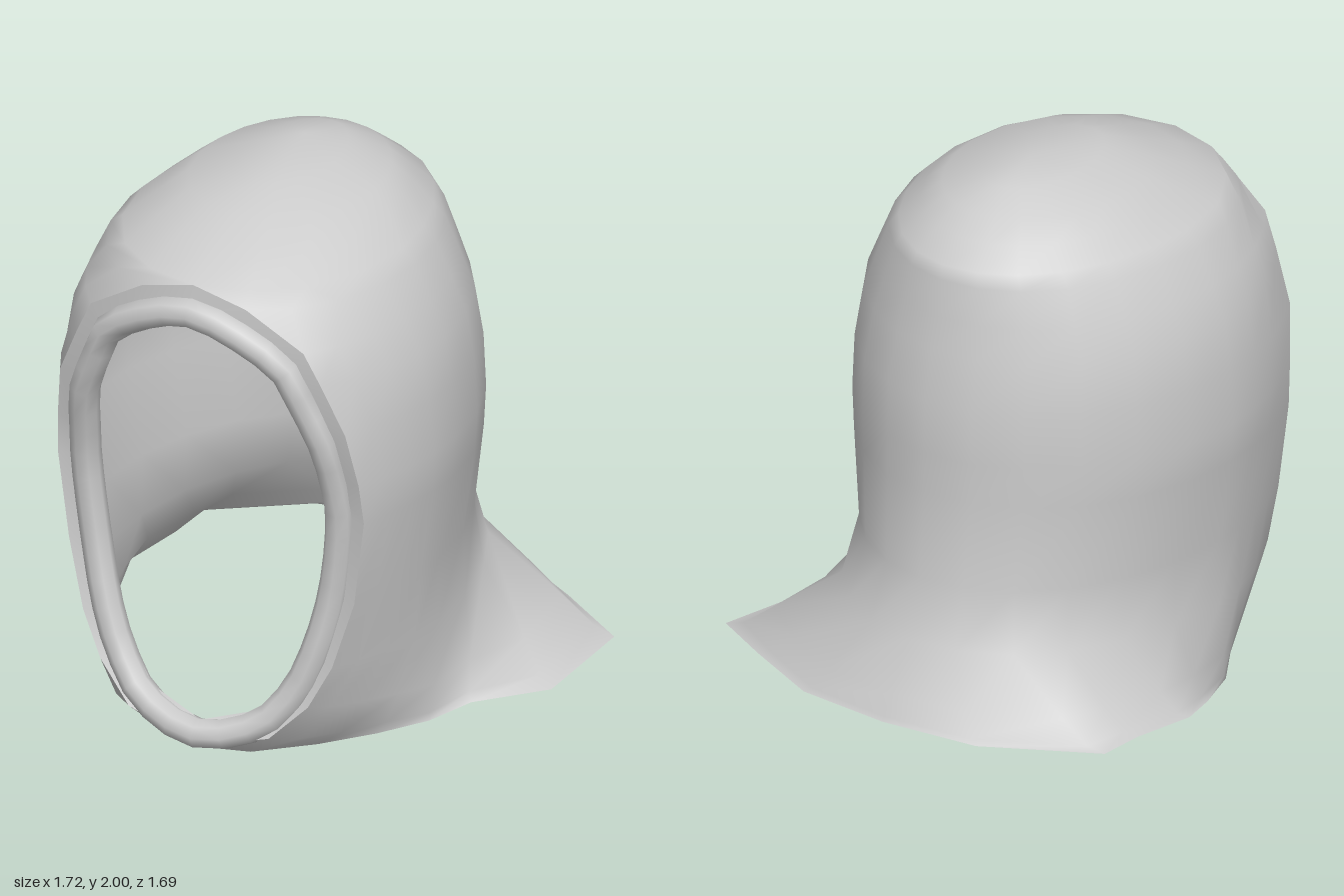
import * as THREE from 'three';
import { mergeVertices } from 'three/addons/utils/BufferGeometryUtils.js';

const CX = -0.09; // centre line of the hood
const FRONT = 4, BACK = 6, HALF = FRONT + BACK; // columns on each side
const V = (x, y, z) => new THREE.Vector3(x, y, z);

// Joins rows of points into one smooth surface
function loft(rows) {
  const pos = [], idx = [], n = rows[0].length;
  rows.forEach((row) => row.forEach((p) => pos.push(p.x, p.y, p.z)));
  for (let i = 0; i < rows.length - 1; i++) {
    for (let j = 0; j < n - 1; j++) {
      const a = i * n + j, b = a + 1, c = a + n, d = c + 1;
      idx.push(a, c, b, b, c, d);
    }
  }
  let geo = new THREE.BufferGeometry();
  geo.setAttribute('position', new THREE.Float32BufferAttribute(pos, 3));
  geo.setIndex(idx);
  geo = mergeVertices(geo, 1e-4);
  geo.computeVertexNormals();
  return geo;
}

// Levels: height, face-opening half width, front z, half width, z of widest point, back z,
// then how far the level flares and drops towards the hem
const levels = [
  [2.0, 0, -0.03, 0, -0.03, -0.03, 0, 0],
  [1.965, 0, 0.32, 0.16, 0.05, -0.22, 0, 0],
  [1.91, 0, 0.48, 0.33, 0.08, -0.34, 0, 0],
  [1.85, 0, 0.63, 0.41, 0.12, -0.42, 0, 0],
  [1.78, 0, 0.78, 0.5, 0.2, -0.51, 0, 0],
  [1.73, 0.2, 0.775, 0.55, 0.2, -0.525, 0, 0],
  [1.6, 0.41, 0.75, 0.61, 0.2, -0.55, 0, 0],
  [1.48, 0.47, 0.735, 0.665, 0.2, -0.57, 0, 0],
  [1.3, 0.55, 0.71, 0.69, 0.2, -0.61, 0, 0],
  [1.1, 0.58, 0.67, 0.7, 0.2, -0.615, 0, 0],
  [0.95, 0.59, 0.65, 0.69, 0.2, -0.615, 0, 0],
  [0.63, 0.55, 0.645, 0.64, 0.2, -0.64, 0, 0],
  [0.38, 0.48, 0.675, 0.64, 0.2, -0.695, 0.08, 0.04],
  [0.22, 0.4, 0.7, 0.65, 0.2, -0.74, 0.6, 0.42],
  [0.09, 0.27, 0.74, 0.62, 0.2, -0.78, 0.85, 0.75],
];

// Flared hem, chin to nape, on the left and right sides
const hemLeft = [
  [CX, 0.02, 0.78], [0.09, 0.005, 0.7], [0.27, 0.01, 0.55], [0.42, 0.02, 0.4], [0.54, 0.03, 0.25], [0.61, 0.04, 0.08],
  [0.82, 0.055, -0.11], [0.855, 0.09, -0.5], [0.6, 0.12, -0.65], [0.27, 0.15, -0.82], [CX, 0.16, -0.845],
].map((p) => V(...p));
const hemRight = [
  [CX, 0.02, 0.78], [-0.27, 0.02, 0.7], [-0.45, 0.045, 0.55], [-0.6, 0.06, 0.4], [-0.72, 0.075, 0.25], [-0.79, 0.09, 0.06],
  [-0.86, 0.13, -0.13], [-0.82, 0.14, -0.37], [-0.82, 0.15, -0.55], [-0.45, 0.16, -0.79], [CX, 0.16, -0.845],
].map((p) => V(...p));

// One side of one level, from the face opening round to the back
function halfRow([y, xo, zo, hw, zm, zb, flare, drop], side, hem) {
  const pts = [];
  const straight = hw > 0 ? xo / hw : 0;
  for (let j = 0; j <= HALF; j++) {
    let x, z;
    if (j <= FRONT) {
      const t = j / FRONT, s = t * Math.PI / 2;
      x = xo + (hw - xo) * Math.sin(s);
      z = zo + (zm - zo) * (straight * t + (1 - straight) * (1 - Math.cos(s)));
    } else {
      const s = ((j - FRONT) / BACK) * Math.PI / 2;
      x = hw * Math.cos(s);
      z = zm + (zb - zm) * Math.sin(s);
    }
    const tilt = 0.16 * ((0.78 - z) / 1.6) * Math.max(0, 1 - y / 0.6);
    const p = V(CX + side * x, y + tilt, z);
    const q = hem[j], w = Math.min(1, j / 4);
    pts.push(V(
      THREE.MathUtils.lerp(p.x, q.x, flare * w),
      THREE.MathUtils.lerp(p.y, q.y, drop * w),
      THREE.MathUtils.lerp(p.z, q.z, flare * w),
    ));
  }
  return pts;
}

const joinSides = (left, right) => [...left, ...right.slice(0, -1).reverse()];
const closed = (pts) => [...pts, pts[0]];

export function createModel() {
  const group = new THREE.Group();
  const material = new THREE.MeshStandardMaterial({ color: 0xcccccc, side: THREE.DoubleSide });
  const add = (geo, name) => {
    const mesh = new THREE.Mesh(geo, material);
    mesh.name = name;
    group.add(mesh);
  };

  // Hood cloth with its flared hem
  const rows = levels.map((l) => joinSides(halfRow(l, 1, hemLeft), halfRow(l, -1, hemRight)));
  rows.push(joinSides(hemLeft, hemRight));
  add(loft(rows), 'hoodShell');

  // Edge of the face opening as a closed loop, top to chin and back up
  const open = rows.slice(4);
  const leftEdge = open.map((r) => r[0]);
  const rightEdge = open.map((r) => r[r.length - 1]);
  const edge = [...leftEdge, ...rightEdge.slice(1, -1).reverse()];

  // Rim centre line sits just inside that edge
  const rimPath = edge.map((p) => V(
    CX + (p.x - CX) * 0.83,
    0.9 + (p.y - 0.9) * (p.y > 0.9 ? 0.885 : 0.96),
    p.z - 0.02 + (p.y > 0.9 ? 0.035 : 0.015) * (p.y - 0.9),
  ));
  const curve = new THREE.CatmullRomCurve3(rimPath, true, 'centripetal');
  add(new THREE.TubeGeometry(curve, 44, 0.054, 8, true), 'faceRim');

  // Folded lip between cloth and rim
  add(loft([closed(edge), closed(rimPath)]), 'openingLip');

  // Lining from the rim back to the inside of the cloth, fading out at the chin
  const liningEnd = edge.map((p) => V(
    CX + (p.x - CX) * 0.95,
    0.9 + (p.y - 0.9) * 0.96,
    p.z - 0.2 * Math.min(1, p.y / 0.5),
  ));
  const liningStart = rimPath.map((p) => V(CX + (p.x - CX) * 0.91, 0.9 + (p.y - 0.9) * 0.95, p.z - 0.02));
  add(loft([closed(liningStart), closed(liningEnd)]), 'innerLining');
  return group;
}
